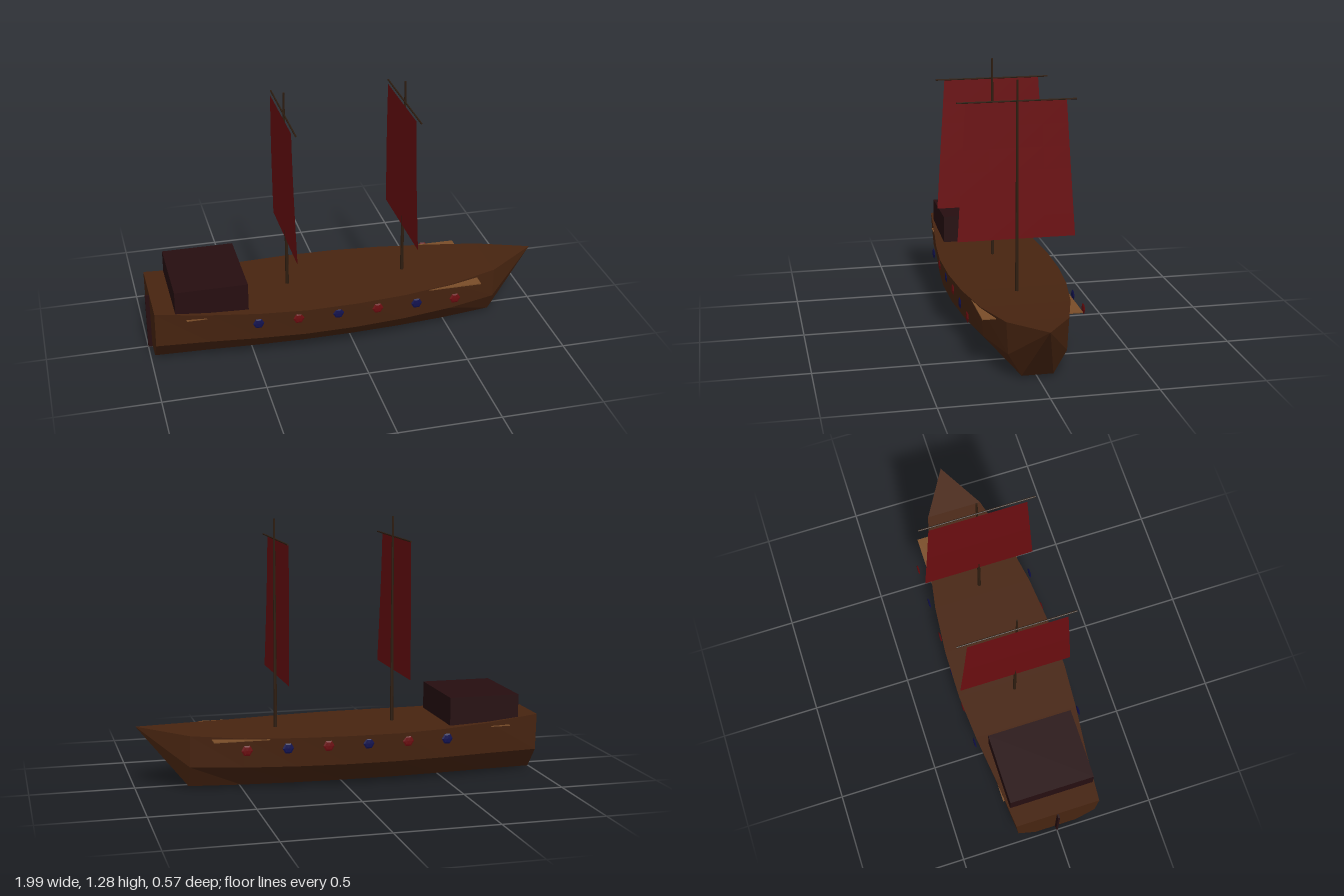
import * as THREE from 'three';

const mat = (name, color, extra = {}) => {
  const m = new THREE.MeshStandardMaterial({ color, flatShading: true, ...extra });
  m.name = name;
  return m;
};

// Hull skinned over six-point cross-sections: [x, half width, deck height]
function hullGeometry() {
  const stations = [
    [-0.98, 0.215, 0.303], [-0.72, 0.238, 0.277], [-0.48, 0.266, 0.266], [-0.25, 0.283, 0.262],
    [0, 0.28, 0.262], [0.25, 0.258, 0.262], [0.5, 0.215, 0.264], [0.75, 0.145, 0.275], [0.99, 0, 0.303],
  ];
  const rings = stations.map(([x, w, y]) => {
    const half = w === 0
      ? [[0, y], [0, y], [0, y]]
      : [[w, y], [w * 0.94, 0.12], [w * 0.51, 0.012]];
    const other = half.map(([z, h]) => [-z, h]).reverse();
    return [...half, ...other].map(([z, h]) => [x, h, z]);
  });
  const pos = [];
  const tri = (a, b, c) => pos.push(...a, ...b, ...c);
  for (let i = 0; i < rings.length - 1; i++) {
    for (let k = 0; k < 6; k++) {
      const n = (k + 1) % 6;
      tri(rings[i][k], rings[i][n], rings[i + 1][n]);
      if (i < rings.length - 2) tri(rings[i][k], rings[i + 1][n], rings[i + 1][k]);
    }
  }
  // Flat transom
  for (let k = 1; k < 5; k++) tri(rings[0][0], rings[0][k + 1], rings[0][k]);
  const g = new THREE.BufferGeometry();
  g.setAttribute('position', new THREE.Float32BufferAttribute(pos, 3));
  g.computeVertexNormals();
  return g;
}

// Tapered sail, slightly bowed aft towards the top
function sailGeometry() {
  const g = new THREE.PlaneGeometry(1, 1, 4, 6);
  g.rotateY(Math.PI / 2);
  const p = g.attributes.position;
  for (let i = 0; i < p.count; i++) {
    const t = p.getY(i) + 0.5;
    p.setXYZ(i, -0.006 - 0.011 * Math.sin(t * Math.PI / 2), 0.52 + 0.66 * t, p.getZ(i) * 2 * (0.285 - 0.045 * t));
  }
  g.computeVertexNormals();
  return g;
}

export function createModel() {
  const ship = new THREE.Group();
  ship.name = 'sailingShip';
  const wood = mat('hull wood', 0x472410);
  const dark = mat('dark cabin wood', 0x260e10);
  const spar = mat('spar wood', 0x2e1d10);
  const plank = mat('light plank', 0x7a4d28);
  const cloth = mat('red sailcloth', 0x6b0d10, { side: THREE.DoubleSide });
  const red = mat('shield red', 0x6b0d10);
  const blue = mat('shield blue', 0x12124f);

  const add = (name, geometry, material, x = 0, y = 0, z = 0) => {
    const m = new THREE.Mesh(geometry, material);
    m.name = name;
    m.position.set(x, y, z);
    ship.add(m);
    return m;
  };

  add('hull', hullGeometry(), wood);
  add('deckPlanking', new THREE.BoxGeometry(1.48, 0.005, 0.47), plank, -0.09, 0.257, 0);
  add('cabin', new THREE.BoxGeometry(0.355, 0.15, 0.43), dark, -0.703, 0.332, 0);
  add('rudder', new THREE.BoxGeometry(0.04, 0.29, 0.01), dark, -0.98, 0.145, 0);

  // Masts with yards and sails
  for (const x of [-0.29, 0.305]) {
    add('mast', new THREE.CylinderGeometry(0.005, 0.009, 1.045, 8), spar, x, 0.7625, 0);
    add('yard', new THREE.CylinderGeometry(0.004, 0.004, 0.57, 6), spar, x - 0.005, 1.185, 0).rotation.x = Math.PI / 2;
    add('sail', sailGeometry(), cloth, x, 0, 0);
  }

  // Domed shields along both sides, alternating colours
  const shield = new THREE.SphereGeometry(0.028, 6, 4);
  shield.rotateX(Math.PI / 2);
  shield.scale(1, 1, 0.18);
  for (let i = 0; i < 6; i++) {
    for (const side of [1, -1]) {
      add('shield', shield, i % 2 ? red : blue, -0.49 + i * 0.198, 0.22, side * 0.277);
    }
  }
  return ship;
}
